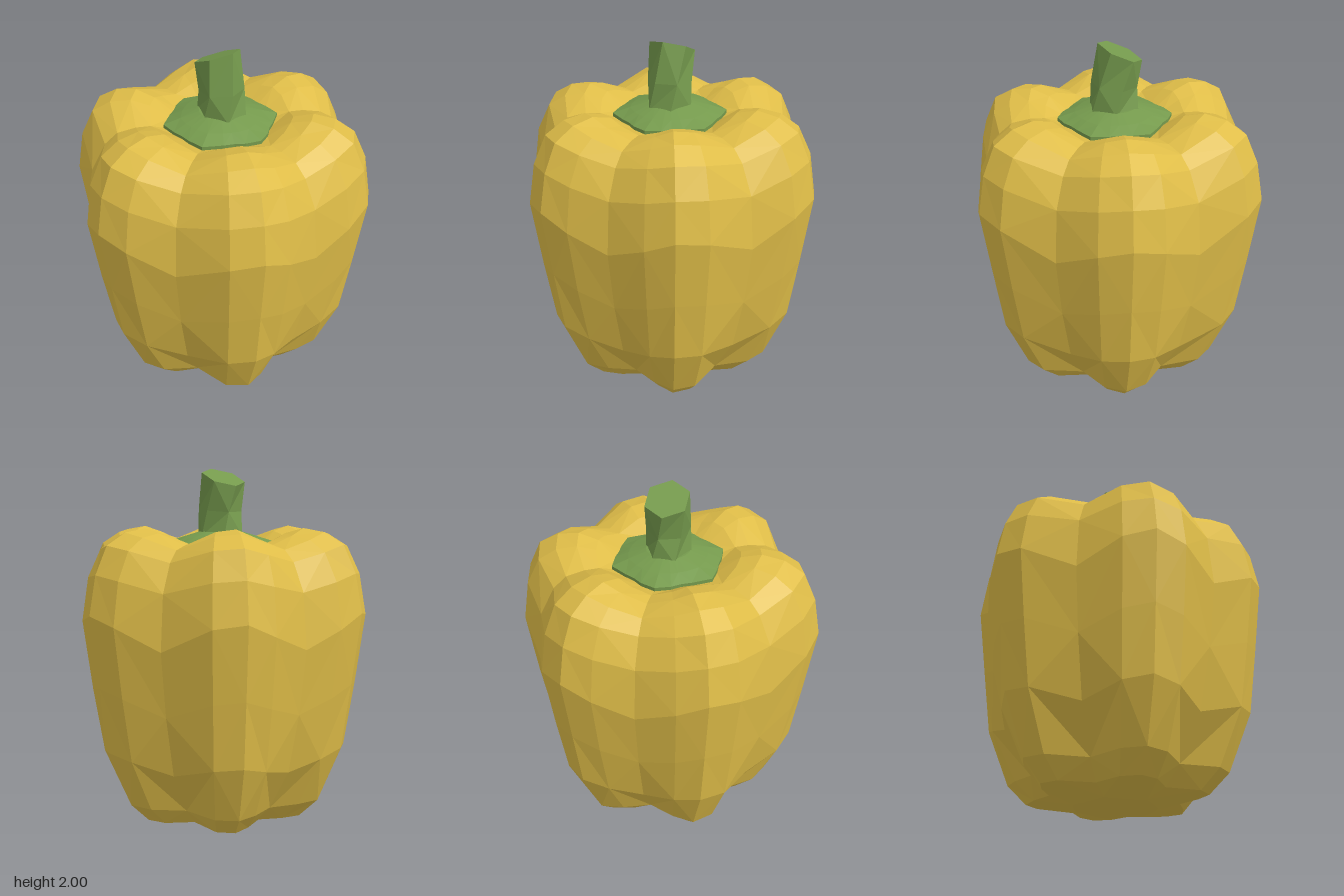
import * as THREE from 'three';

const RAD = Math.PI / 180;

// Skin a stack of rings (bottom to top), optionally closing either end with a fan.
function loft(rings, closeBottom, closeTop) {
  const pos = [];
  const n = rings[0].length;
  const tri = (a, b, c) => pos.push(...a, ...b, ...c);
  const centre = ring => [0, 1, 2].map(k => ring.reduce((s, p) => s + p[k], 0) / n);
  for (let i = 0; i < rings.length - 1; i++) {
    for (let j = 0; j < n; j++) {
      const k = (j + 1) % n;
      const a = rings[i][j], b = rings[i][k], c = rings[i + 1][j], d = rings[i + 1][k];
      // alternate the diagonal for an irregular faceted skin
      if ((i + j) % 2) { tri(a, c, b); tri(b, c, d); }
      else { tri(a, c, d); tri(a, d, b); }
    }
  }
  const first = rings[0], last = rings[rings.length - 1];
  for (let j = 0; j < n; j++) {
    const k = (j + 1) % n;
    if (closeBottom) tri(first[j], first[k], centre(first));
    if (closeTop) tri(last[k], last[j], centre(last));
  }
  const g = new THREE.BufferGeometry();
  g.setAttribute('position', new THREE.Float32BufferAttribute(pos, 3));
  g.computeVertexNormals();
  return g;
}

// Angle and bulge (0 = groove, 1 = crest) over a quarter turn, mirrored to a full turn
const quarter = [[0, 0], [16, 0.55], [27, 1], [39, 0.85], [60, 0], [78, 0.72]];
const around = [
  ...quarter,
  [90, 1],
  ...quarter.slice(1).reverse().map(([a, w]) => [180 - a, w]),
];
const fullTurn = [...around, ...around.map(([a, w]) => [a + 180, w])];

// Crest radius, crest height, groove radius, groove height
const bodyProfile = [
  [0.22, 0.00, 0.23, 0.01],
  [0.50, 0.05, 0.36, 0.05],
  [0.61, 0.16, 0.46, 0.15],
  [0.74, 0.48, 0.61, 0.39],
  [0.79, 0.84, 0.69, 0.72],
  [0.84, 1.23, 0.74, 1.07],
  [0.80, 1.44, 0.71, 1.36],
  [0.73, 1.59, 0.63, 1.51],
  [0.62, 1.655, 0.56, 1.57],
  [0.50, 1.675, 0.46, 1.59],
  [0.39, 1.645, 0.38, 1.59],
  [0.27, 1.57, 0.31, 1.57],
];

function lobedRing([rc, yc, rg, yg]) {
  return fullTurn.map(([a, w]) => {
    const r = rg + (rc - rg) * w, y = yg + (yc - yg) * w;
    return [Math.cos(a * RAD) * r, y, Math.sin(a * RAD) * r];
  });
}

// Six-sided stem ring whose height can slope along x
function stemRing(cx, y, rx, rz, turn, slope) {
  return Array.from({ length: 6 }, (_, i) => {
    const a = (i * 60 + turn) * RAD;
    const x = cx + Math.cos(a) * rx;
    return [x, y + slope * (x - cx), Math.sin(a) * rz];
  });
}

export function createModel() {
  const skin = new THREE.MeshStandardMaterial({ color: 0xdfbd48 });
  skin.name = 'yellowSkin';
  const green = new THREE.MeshStandardMaterial({ color: 0x759a4d });
  green.name = 'stemGreen';
  for (const m of [skin, green]) m.flatShading = true;

  const group = new THREE.Group();
  group.name = 'bellPepper';
  const add = (name, geometry, material) => {
    const mesh = new THREE.Mesh(geometry, material);
    mesh.name = name;
    group.add(mesh);
  };

  // Lobed fruit
  add('body', loft(bodyProfile.map(lobedRing), true, false), skin);

  // Green collar in the hollow on top
  const collar = [
    [0.275, 1.57, 0.312, 1.57],
    [0.275, 1.59, 0.312, 1.59],
    [0.21, 1.62, 0.22, 1.62],
    [0.12, 1.65, 0.12, 1.65],
  ];
  add('collar', loft(collar.map(lobedRing), false, true), green);

  // Bent stem with a slanted cut
  add('stem', loft([
    stemRing(0.005, 1.63, 0.145, 0.125, 30, 0),
    stemRing(0.005, 1.77, 0.125, 0.118, 14, 0.1),
    stemRing(-0.027, 1.95, 0.118, 0.122, 0, 0.425),
  ], false, true), green);

  return group;
}
